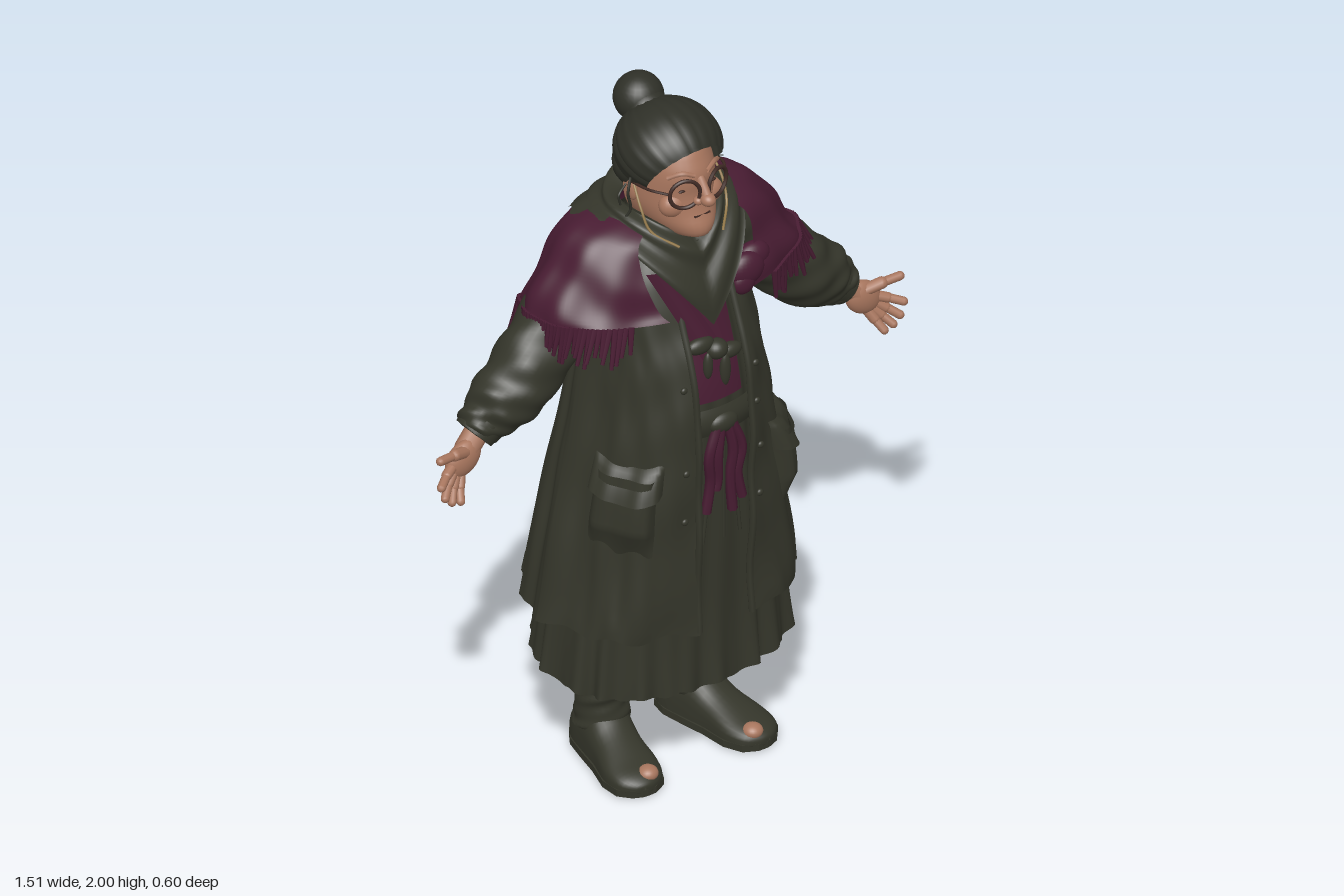
import * as THREE from 'three';
import { mergeGeometries, mergeVertices } from 'three/addons/utils/BufferGeometryUtils.js';

const V = (x, y, z) => new THREE.Vector3(x, y, z);
const { sin, cos, abs, PI, asin, min, max } = Math;
const lerp = THREE.MathUtils.lerp;

function material(name, color) {
  const m = new THREE.MeshStandardMaterial({ color, side: THREE.DoubleSide });
  m.name = name;
  return m;
}

// smooth surface through a rule f(u, v) -> [x, y, z]
function surface(f, nu, nv) {
  const pos = [], idx = [];
  for (let j = 0; j <= nv; j++) for (let i = 0; i <= nu; i++) pos.push(...f(i / nu, j / nv));
  for (let j = 0; j < nv; j++) for (let i = 0; i < nu; i++) {
    const a = j * (nu + 1) + i, b = a + nu + 1;
    idx.push(a, b, a + 1, a + 1, b, b + 1);
  }
  let g = new THREE.BufferGeometry();
  g.setAttribute('position', new THREE.Float32BufferAttribute(pos, 3));
  g.setIndex(idx);
  g = mergeVertices(g, 1e-5);
  g.computeVertexNormals();
  return g;
}

// Catmull-Rom blend of the rows of a small table, t in 0..1
function rows(table, t) {
  const n = table.length - 1, i = min(n - 1, Math.floor(t * n)), f = t * n - i;
  const at = k => table[max(0, min(n, k))];
  const [p, a, b, q] = [at(i - 1), at(i), at(i + 1), at(i + 2)];
  return a.map((_, c) => 0.5 * (2 * a[c] + (b[c] - p[c]) * f + (2 * p[c] - 5 * a[c] + 4 * b[c] - q[c]) * f * f
    + (3 * a[c] - p[c] - 3 * b[c] + q[c]) * f ** 3));
}

// point on a body of rings [y, halfWidth, zFront, zBack]; angle 0 faces front, power < 1 squares the front
function body(table, a, t, off = 0, power = .72) {
  const [y, rx, zf, zb] = rows(table, t), c = cos(a);
  return [(rx + off) * sin(a), y, c > 0 ? (zf + off) * c ** power : (off - zb) * c];
}

// cloth draped from the neck: rows [radius, y] for front, side and back
function drape({ F, S, B }, a, t, off = 0) {
  const c = cos(a), h = abs(sin(a)), s = rows(S, t), e = rows(c > 0 ? F : B, t);
  return [(s[0] + off) * sin(a), lerp(e[1], s[1], h) + off * 0.5, (e[0] + off) * c];
}

function tube(points, r, seg = 20) {
  return new THREE.TubeGeometry(new THREE.CatmullRomCurve3(points.map(p => V(...p))), seg, r, 6);
}

function limb(a, b, r) {
  const p = V(...a), q = V(...b), d = q.clone().sub(p);
  const g = new THREE.CapsuleGeometry(r, d.length(), 4, 10);
  g.applyQuaternion(new THREE.Quaternion().setFromUnitVectors(V(0, 1, 0), d.normalize()));
  return g.translate((p.x + q.x) / 2, (p.y + q.y) / 2, (p.z + q.z) / 2);
}

const ball = (x, y, z, rx, ry, rz) => new THREE.SphereGeometry(1, 24, 16).scale(rx, ry, rz).translate(x, y, z);

const COAT = [[1.62, .13, .14, -.11], [1.52, .21, .188, -.15], [1.4, .225, .235, -.17], [1.25, .245, .282, -.18],
  [1.05, .285, .297, -.2], [.8, .335, .296, -.243], [.51, .384, .298, -.286]];
const DRESS = [[1.62, .12, .165, -.1], [1.4, .19, .215, -.13], [1.2, .215, .262, -.145], [1.0, .248, .265, -.165],
  [.75, .298, .262, -.2], [.5, .335, .255, -.245], [.32, .354, .262, -.278]];
const SHAWL = { F: [[.15, 1.62], [.185, 1.58], [.212, 1.51], [.235, 1.44]],
  S: [[.12, 1.69], [.26, 1.667], [.348, 1.565], [.41, 1.46]],
  B: [[.1, 1.7], [.174, 1.61], [.205, 1.45], [.221, 1.24]] };
const COWL = { F: [[.125, 1.63], [.175, 1.615], [.205, 1.54], [.245, 1.4]],
  S: [[.11, 1.69], [.14, 1.71], [.175, 1.69], [.215, 1.67]],
  B: [[.06, 1.72], [.11, 1.745], [.155, 1.675], [.197, 1.58]] };
const FACE = [[1.925, .01, .08, .02], [1.9, .075, .145, -.03], [1.86, .1, .172, -.03], [1.82, .109, .186, -.03],
  [1.77, .114, .182, -.03], [1.72, .111, .19, 0], [1.675, .093, .205, .02], [1.645, .065, .188, .03], [1.638, .005, .1, .09]];

// coat with scalloped pleats behind, soft creases and tucked-in corners in front
function coat(a, t, off = 0) {
  const c = max(0, cos(a)), back = (1 - cos(a)) / 2;
  const pleat = t ** 1.4 * back * (.017 * cos(16 * a) + .004 * cos(37 * a));
  const crease = (1 - back) * t * (.006 * sin(9 * a + 9 * t) + .004 * sin(17 * a - 26 * t) + .003 * sin(38 * t + 4 * a));
  const p = body(COAT, a, t, off + pleat + crease);
  p[0] *= 1 - .6 * t * c * (1 - c) ** 2;
  return p;
}

export function createModel() {
  const model = new THREE.Group();
  const olive = material('olive cloth', 0x34352a), plum = material('plum wool', 0x481c32);
  const skin = material('skin', 0xa8765e), hairMat = material('dark hair', 0x2f3028);
  const frame = material('glasses brown', 0x3f2a24), gold = material('gold', 0x8f7340);
  const add = (name, geo, mat, parent = model) => {
    const m = new THREE.Mesh(geo, mat);
    m.name = name;
    parent.add(m);
    return m;
  };

  // coat, open down the front
  const gap = t => asin(.085 / rows(COAT, t)[1]);
  add('coat', surface((u, v) => {
    const a = lerp(gap(v), 2 * PI - gap(v), u), p = coat(a, v);
    p[1] += v > .95 ? .008 * cos(13 * a) : 0;
    return p;
  }, 220, 60), olive);

  // dress with a frilled hem
  add('dress', surface((u, v) => {
    const a = u * 2 * PI, f = v ** 4;
    const p = body(DRESS, a, v, f * (.01 * cos(19 * a) + .005 * cos(31 * a + 1)) + .003 * sin(23 * a));
    p[1] += f * (.01 - .022 * cos(a) + .006 * cos(19 * a));
    return p;
  }, 220, 40), olive);

  // plum blouse panel, knots, belt and hanging sash ends
  add('blousePanel', surface((u, v) => body(DRESS, lerp(-.33, .33, u), lerp(.1, .345, v), .008), 16, 12), plum);
  add('frontKnot', mergeGeometries([ball(0, 1.33, .25, .032, .028, .03), ball(-.045, 1.352, .242, .042, .024, .02),
    ball(.042, 1.31, .25, .038, .022, .02), ball(.02, 1.265, .262, .016, .05, .012), ball(-.03, 1.29, .255, .014, .04, .012)]), olive);
  add('belt', surface((u, v) => body(DRESS, lerp(-.46, .46, u), lerp(.36, .43, v), .012 + .01 * sin(v * PI)), 20, 8), olive);
  add('sashKnot', ball(0, 1.12, .28, .045, .03, .022), olive);
  const ends = [[-.055, .86], [-.024, .92], [.03, .84], [.06, .87]];
  add('sashEnds', mergeGeometries(ends.map(([x, y]) => tube(
    [[x * .4, 1.115, .285], [x * .9, 1.03, .287], [x * .75, .95, .28], [x, y, .28]], .014))), plum);
  add('sashCords', mergeGeometries([-.04, .005, .04].map(x => tube(
    [[x * .5, 1.1, .28], [x, .95, .275], [x * 1.5, .76, .272]], .005))), olive);

  // shawl with a pointed back
  const shawl = (a, t, off = 0) => drape(SHAWL, a, t, off + t * (.006 * sin(15 * t + 2 * sin(3 * a)) + .004 * sin(14 * a)));
  const open = t => lerp(.9, .32, t);
  add('shawl', surface((u, v) => shawl(lerp(open(v), 2 * PI - open(v), u), v), 140, 30), plum);
  add('shawlYoke', surface((u, v) => {
    const a = lerp(1.85, 2 * PI - 1.85, u), edge = .31 + .05 * sin(17 * u) + .03 * sin(41 * u) - .05 * sin(PI * u);
    return shawl(a, v * edge, .006);
  }, 80, 10), olive);
  const strands = [];
  for (let i = 0; i < 130; i++) {
    const a = lerp(.6, 2 * PI - .6, i / 129), p = V(...shawl(a, .985));
    const d = p.clone().sub(V(...shawl(a, .9))).normalize().add(V(.12 * sin(i * 2.3), -.7, 0)).normalize();
    const len = .09 + .018 * sin(i * 5.1);
    const q = p.clone().addScaledVector(d, len);
    const g = new THREE.CylinderGeometry(.0095, .0055, len, 5);
    g.applyQuaternion(new THREE.Quaternion().setFromUnitVectors(V(0, -1, 0), d));
    strands.push(g.translate((p.x + q.x) / 2, (p.y + q.y) / 2, (p.z + q.z) / 2));
  }
  add('shawlFringe', mergeGeometries(strands), plum);
  add('shawlKnot', mergeGeometries([ball(.14, 1.49, .19, .055, .05, .03), ball(.175, 1.51, .172, .05, .04, .03),
    ball(.125, 1.46, .2, .035, .035, .02)]), plum);
  add('shawlEnd', surface((u, v) => [lerp(-.13, .0, v) + (u - .5) * .075, lerp(1.58, 1.3, v),
    lerp(.172, .25, v) + .014 * sin(u * PI)], 8, 14), plum);

  // rolled scarf around the neck
  add('neckScarf', surface((u, v) => {
    const a = u * 2 * PI;
    return drape(COWL, a, v, .006 * sin(v * 17 + 1.5 * sin(2 * a)));
  }, 80, 24), olive);
  add('neck', new THREE.CylinderGeometry(.065, .08, .16, 24).translate(0, 1.65, .045), skin);

  // head
  const head = new THREE.Group();
  head.name = 'head';
  model.add(head);
  add('face', surface((u, v) => body(FACE, u * 2 * PI, v, 0, .85), 40, 32), skin, head);
  add('nose', mergeGeometries([limb([0, 1.815, .18], [0, 1.775, .21], .014), ball(0, 1.77, .214, .02, .018, .022),
    ball(.017, 1.764, .195, .014, .012, .014), ball(-.017, 1.764, .195, .014, .012, .014)]), skin, head);
  add('cheeks', mergeGeometries([-1, 1].map(s => ball(s * .055, 1.74, .138, .042, .036, .033))), skin, head);
  add('ears', mergeGeometries([-1, 1].map(s => ball(s * .118, 1.76, .045, .012, .032, .02))), skin, head);
  add('mouth', new THREE.BoxGeometry(.05, .004, .006).translate(0, 1.712, .189), frame, head);
  add('eyes', mergeGeometries([-1, 1].map(s => ball(s * .048, 1.79, .168, .012, .004, .005))), frame, head);
  add('brows', mergeGeometries([-1, 1].map(s => tube([[s * .02, 1.835, .183], [s * .05, 1.845, .17],
    [s * .08, 1.83, .145]], .007))), skin, head);

  // swept-back hair, nape and bun
  const cap = new THREE.SphereGeometry(1, 64, 32, 0, 2 * PI, 0, 2.2), cp = cap.attributes.position;
  for (let i = 0; i < cp.count; i++) {
    const p = V().fromBufferAttribute(cp, i);
    p.multiplyScalar(1 + .018 * cos(22 * Math.atan2(p.x, p.z)) * Math.hypot(p.x, p.z));
    cp.setXYZ(i, p.x, p.y, p.z);
  }
  cap.rotateX(-1.05).scale(.142, .122, .143).translate(0, 1.848, .04);
  cap.computeVertexNormals();
  add('hair', cap, hairMat, head);
  add('napeHair', ball(0, 1.8, -.01, .13, .095, .085), hairMat, head);
  add('bun', mergeGeometries([ball(0, 1.932, -.088, .068, .068, .066), ball(0, 1.915, -.05, .058, .055, .05)]), hairMat, head);
  add('hairWisps', mergeGeometries([tube([[-.135, 1.81, .06], [-.15, 1.77, .07], [-.142, 1.72, .07], [-.155, 1.69, .06]], .004),
    tube([[-.135, 1.78, .04], [-.165, 1.76, .05], [-.16, 1.73, .05]], .003)]), hairMat, head);

  // round glasses and their chain
  const glasses = [tube([[-.012, 1.795, .194], [0, 1.802, .2], [.012, 1.795, .194]], .0045)];
  for (const s of [-1, 1]) {
    glasses.push(new THREE.TorusGeometry(.041, .0055, 8, 32).rotateY(s * .35).translate(s * .052, 1.79, .185));
    glasses.push(tube([[s * .09, 1.795, .168], [s * .117, 1.795, .12], [s * .122, 1.785, .045]], .004));
  }
  add('glasses', mergeGeometries(glasses), frame, head);
  add('glassesChain', mergeGeometries([-1, 1].map(s => tube([[s * .124, 1.785, .06], [s * .13, 1.73, .1],
    [s * .122, 1.675, .13], [s * .07, 1.635, .185]], .0038))), gold, head);

  // left side, then mirrored
  const side = new THREE.Group();
  side.name = 'leftSide';
  const ARM = [[.17, 1.52, -.02, .1], [.27, 1.46, -.02, .1], [.36, 1.365, -.01, .1], [.44, 1.285, 0, .099],
    [.51, 1.23, 0, .09], [.555, 1.195, -.003, .07], [.588, 1.17, -.003, .056], [.594, 1.165, -.003, .035]];
  add('sleeve', surface((u, v) => {
    const [x, y, z, r0] = rows(ARM, v), a = u * 2 * PI;
    const r = r0 + .004 * sin(v * 31 + 3 * cos(a)) * (.5 + .5 * sin(a + 1)) + .003 * sin(v * 44 + 4 * a);
    return [x + r * .68 * cos(a), y + r * .76 * cos(a), z + r * .95 * sin(a)];
  }, 36, 70), olive, side);
  add('cuff', new THREE.CylinderGeometry(.062, .056, .045, 24, 1, true).rotateZ(.85).translate(.575, 1.18, -.003), olive, side);
  const palm = new THREE.SphereGeometry(1, 24, 16).scale(.06, .046, .028).rotateZ(-.7).translate(.642, 1.118, .018);
  const hand = [palm, limb([.57, 1.18, -.004], [.625, 1.135, .01], .033),
    limb([.635, 1.14, .024], [.685, 1.157, .042], .017), limb([.685, 1.157, .042], [.737, 1.162, .05], .0125)];
  const fingers = [[.672, 1.113, .742, 1.087], [.673, 1.095, .73, 1.05], [.665, 1.082, .708, 1.03], [.652, 1.077, .68, 1.022]];
  for (const [x, y, ex, ey] of fingers) {
    const mx = (x + ex) / 2, my = (y + ey) / 2;
    hand.push(limb([x, y, .02], [mx, my, .036], .0145), limb([mx, my, .036], [ex, ey, .06], .0118));
  }
  add('hand', mergeGeometries(hand), skin, side);

  // coat front edge, buttons, patch pocket and flap
  const edge = [];
  for (let i = 1; i <= 12; i++) edge.push(coat(gap(i / 12), i / 12, .002));
  add('coatEdge', tube(edge, .01, 60), olive, side);
  add('coatButtons', mergeGeometries([.5, .6, .7, .8].map(t => ball(...coat(gap(t) + .12, t, .002), .01, .01, .007))), olive, side);
  add('pocket', surface((u, v) => coat(lerp(.66, 1.36, u), lerp(.7, .855, v),
    .036 * min(1, 3 * sin(u * PI)) * min(1, 3 * (1 - v)) - .004), 24, 18), olive, side);
  add('pocketFlap', surface((u, v) => coat(lerp(.63, 1.38, u), lerp(.675, .735, v) + .012 * sin(u * PI),
    .044 * Math.sqrt(v) * min(1, 4 * sin(u * PI) + .3)), 24, 8), olive, side);

  // wrinkled boot leg, foot, sole, heel and bare toe
  const LEG = [[.45, .076], [.34, .081], [.25, .079], [.17, .071], [.09, .074]];
  add('bootLeg', surface((u, v) => {
    const a = u * 2 * PI, [y, r0] = rows(LEG, v), r = r0 + .0025 * sin(v * 34 + 4 * cos(a)) + .002 * sin(v * 51 - 3 * a);
    return [.146 + r * sin(a), y, -.05 + r * cos(a)];
  }, 32, 50), olive, side);
  const foot = new THREE.Group();
  foot.name = 'foot';
  foot.position.set(.146, 0, -.05);
  foot.rotation.y = .2;
  side.add(foot);
  const FOOT = [[-.095, .01, .07], [-.085, .05, .1], [-.04, .068, .135], [.03, .07, .15], [.1, .07, .108],
    [.18, .078, .075], [.235, .064, .058], [.262, .03, .042], [.268, .003, .03]];
  add('bootFoot', surface((u, v) => {
    const [z, w, h] = rows(FOOT, v), a = u * 2 * PI, s = sin(a);
    return [w * cos(a), .02 + (s > 0 ? (h - .02) * s ** .6 : .01 * s), z];
  }, 32, 32), olive, foot);
  const outline = new THREE.Shape([...FOOT.map(r => new THREE.Vector2(r[1] + .004, -r[0])),
    ...FOOT.slice().reverse().map(r => new THREE.Vector2(-r[1] - .004, -r[0]))].reverse());
  add('sole', new THREE.ExtrudeGeometry(outline, { depth: .02, bevelEnabled: false }).rotateX(-PI / 2).translate(0, .004, 0), olive, foot);
  add('heel', new THREE.CylinderGeometry(.062, .062, .025, 24).translate(0, .0125, -.03), olive, foot);
  add('toe', ball(-.024, .049, .23, .028, .021, .028), skin, foot);

  const other = side.clone();
  other.name = 'rightSide';
  other.scale.x = -1;
  model.add(side, other);
  return model;
}
